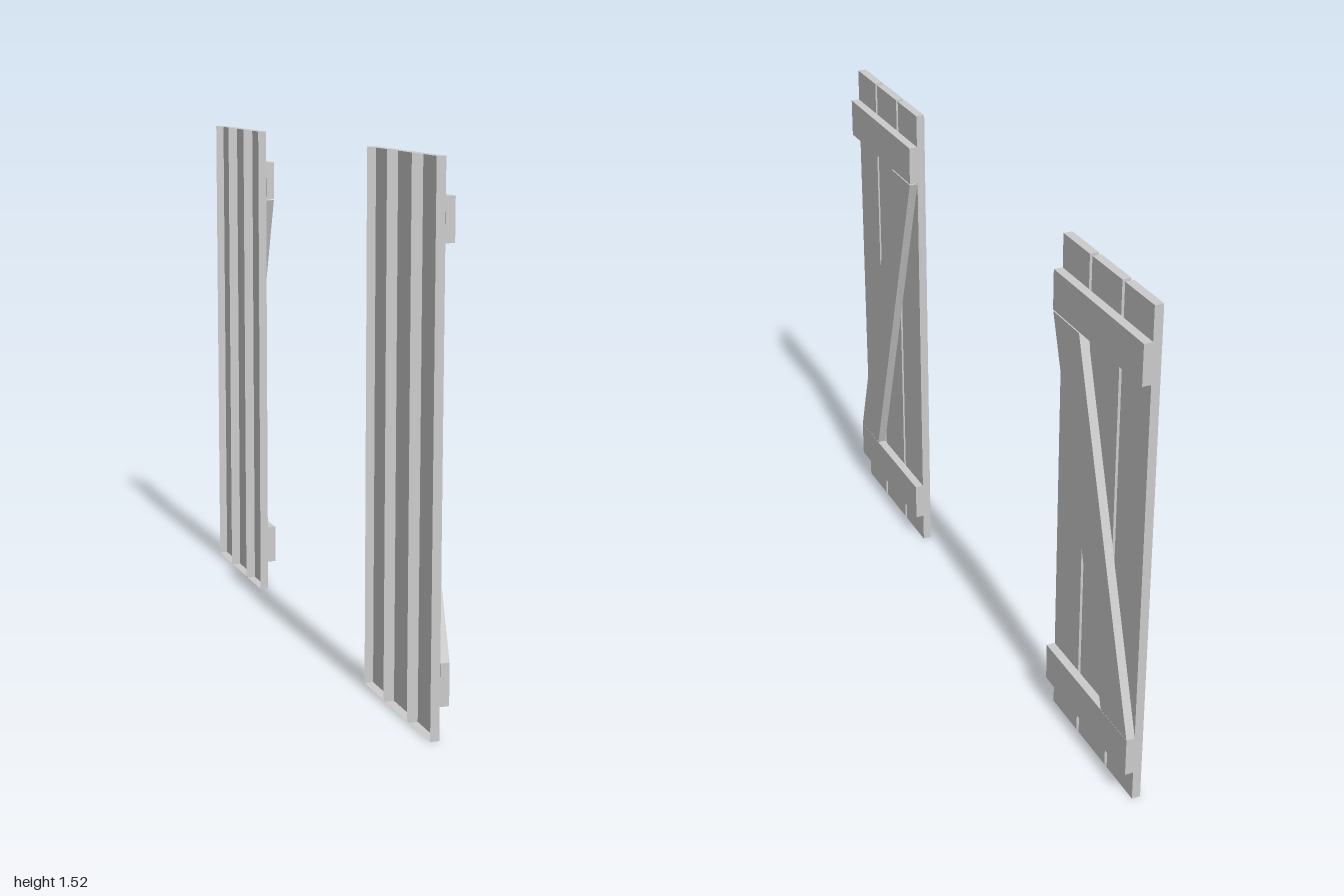
import * as THREE from 'three';

const material = new THREE.MeshStandardMaterial({ color: 0xcccccc, flatShading: true, side: THREE.DoubleSide });

// Board between two corners, left open on its rear (-x) face.
// shear slides its top towards +z and its bottom towards -z by half that amount.
function board(name, x0, x1, y0, y1, z0, z1, shear = 0) {
  const height = y1 - y0;
  const geometry = new THREE.BoxGeometry(x1 - x0, height, Math.abs(z1 - z0));
  const index = Array.from(geometry.index.array);
  index.splice(6, 6); // drop the rear face
  geometry.setIndex(index);
  geometry.clearGroups();

  const p = geometry.attributes.position;
  for (let i = 0; i < p.count; i++) p.setZ(i, p.getZ(i) + shear * p.getY(i) / height);
  geometry.computeVertexNormals();

  const mesh = new THREE.Mesh(geometry, material);
  mesh.name = name;
  mesh.position.set((x0 + x1) / 2, (y0 + y1) / 2, (z0 + z1) / 2);
  return mesh;
}

// One shutter; side is +1 for the +z panel and -1 for its mirror image
function shutter(side) {
  const group = new THREE.Group();
  group.name = side > 0 ? 'frontShutter' : 'backShutter';
  const back = -0.026, middle = 0, front = 0.026;

  // Three upright planks with narrow gaps
  [[0.504, 0.656], [0.67, 0.833], [0.847, 0.999]].forEach(([a, b], i) =>
    group.add(board(`plank${i + 1}`, back, middle, 0, 1.52, side * a, side * b)));

  // Horizontal battens
  group.add(board('lowerBatten', middle, front, 0.093, 0.211, side * 0.503, side));
  group.add(board('upperBatten', middle, front, 1.303, 1.421, side * 0.503, side));

  // Diagonal brace: outer corner at the bottom, inner corner at the top
  group.add(board('diagonalBrace', middle, front, 0.212, 1.299,
    side * 0.676, side * 0.828, -side * 0.343));
  return group;
}

export function createModel() {
  const model = new THREE.Group();
  model.name = 'shutterPair';
  for (const side of [1, -1]) model.add(shutter(side));
  return model;
}
